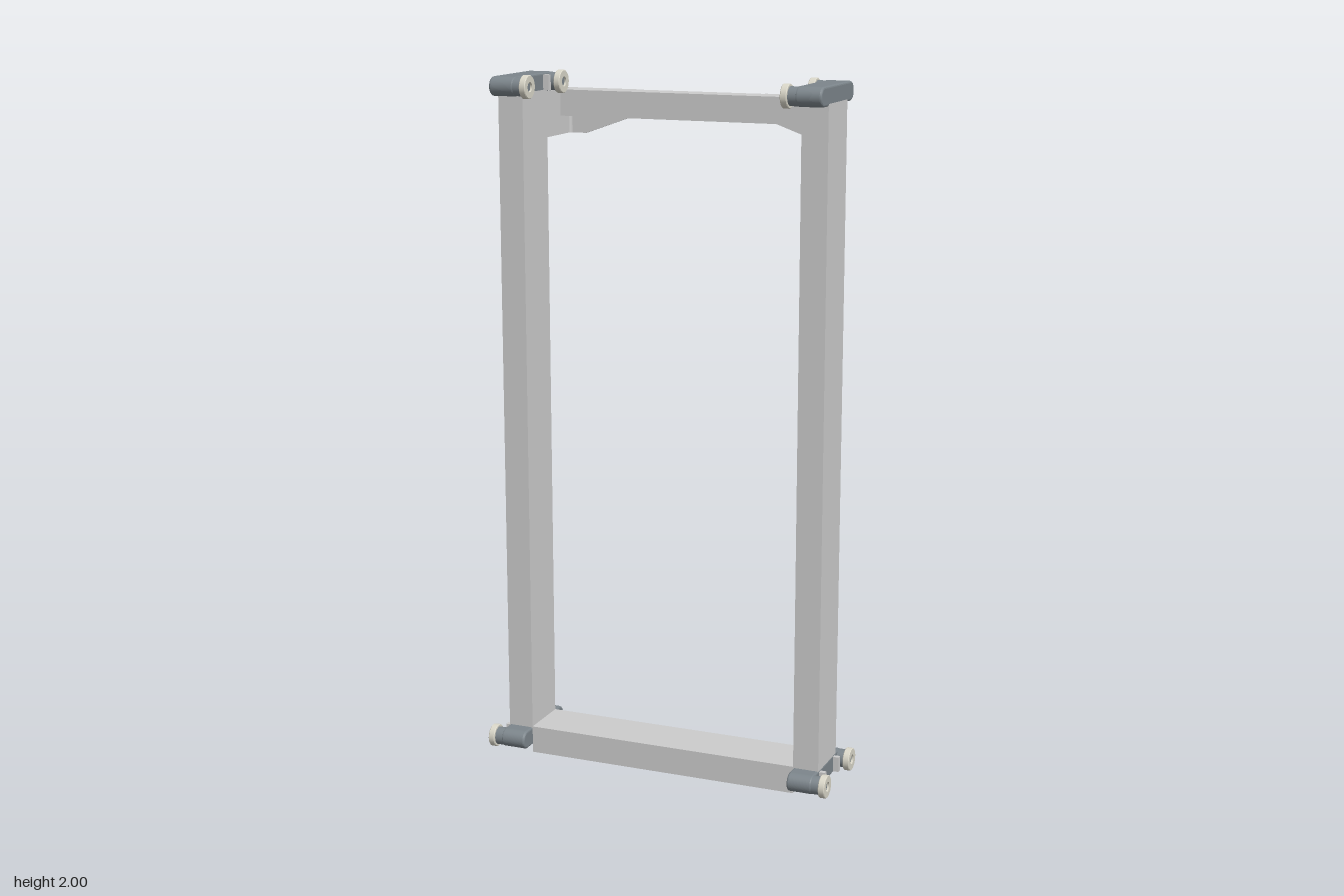
import * as THREE from 'three';

const grey = new THREE.MeshStandardMaterial({ color: 0xcccccc });
const dark = new THREE.MeshStandardMaterial({ color: 0x7c858b });
const cream = new THREE.MeshStandardMaterial({ color: 0xd9d6c8 });

const MID_Z = 0.047;   // centre of the posts front to back
const POST_X = 0.4475; // centre of each post
const AXLE_Z = 0.11;   // rollers, measured from MID_Z

function add(parent, name, geometry, material, x = 0, y = 0, z = 0) {
  const mesh = new THREE.Mesh(geometry, material);
  mesh.name = name;
  mesh.position.set(x, y, z);
  parent.add(mesh);
  return mesh;
}

// Box given by its two extreme corners
function box(parent, name, material, [x0, y0, z0], [x1, y1, z1]) {
  return add(parent, name, new THREE.BoxGeometry(x1 - x0, y1 - y0, z1 - z0), material,
    (x0 + x1) / 2, (y0 + y1) / 2, (z0 + z1) / 2);
}

// Stadium-shaped carrier with two rollers that point along local +x
function rollerBracket(name) {
  const g = new THREE.Group();
  g.name = name;
  const r = 0.021, bevel = 0.006;
  const s = new THREE.Shape();
  s.absarc(AXLE_Z, 0, r, -Math.PI / 2, Math.PI / 2, false);
  s.absarc(-AXLE_Z, 0, r, Math.PI / 2, Math.PI * 1.5, false);
  const core = new THREE.ExtrudeGeometry(s, {
    depth: 0.075 - 2 * bevel, bevelThickness: bevel, bevelSize: bevel, bevelSegments: 3, curveSegments: 16,
  });
  core.translate(0, 0, bevel - 0.0375);
  core.rotateY(Math.PI / 2);
  add(g, 'carrier', core, dark);

  // Roller profile (radius, position along axle), with a recessed hub
  const profile = [[0.014, 0.066], [0.014, 0.077], [0.031, 0.077], [0.033, 0.075],
    [0.033, 0.060], [0.031, 0.058], [0.014, 0.058]];
  // Repeat each corner so the lathe keeps hard edges
  const points = profile.flatMap(([a, b]) => [new THREE.Vector2(a, b), new THREE.Vector2(a, b)]).reverse();
  for (const side of [-1, 1]) {
    const axle = new THREE.CylinderGeometry(0.026, 0.026, 0.038, 28).rotateZ(Math.PI / 2);
    add(g, 'axle', axle, dark, 0.039, 0, side * AXLE_Z);
    const roller = new THREE.LatheGeometry(points, 28).rotateZ(-Math.PI / 2);
    const m = add(g, 'roller', roller, cream, 0, 0, side * AXLE_Z);
    m.material = creamBoth;
    const hub = new THREE.CylinderGeometry(0.014, 0.014, 0.014, 20).rotateZ(Math.PI / 2);
    add(g, 'hub', hub, dark, 0.064, 0, side * AXLE_Z);
    // Short lug beside the roller
    add(g, 'lug', new THREE.BoxGeometry(0.027, 0.044, 0.014), grey, 0.041, 0, side * 0.062);
  }
  return g;
}
const creamBoth = cream.clone();
creamBoth.side = THREE.DoubleSide;

// Bent sheet that wraps the rear beam and meets the post, built for +x
function gusset() {
  const top = 1.94, t = 0.009, R = 0.018;
  const xo = 0.42, zo = -0.195;
  // Centre path seen from above: x, z, normal x, normal z
  const path = [[0.19, zo, 0, 1], [0.205, zo, 0, 1], [0.36, zo, 0, 1], [xo - R, zo, 0, 1]];
  for (let i = 1; i <= 6; i++) {
    const a = (i / 6) * Math.PI / 2;
    path.push([xo - R + R * Math.sin(a), zo + R - R * Math.cos(a), -Math.sin(a), Math.cos(a)]);
  }
  path.push([xo, -0.032, -1, 0]);
  const bottom = (x) => 1.865 - 0.055 * THREE.MathUtils.clamp((x - 0.205) / 0.155, 0, 1);
  const pos = [], idx = [];
  for (const [x, z, nx, nz] of path) {
    const low = bottom(x);
    pos.push(x, top, z, x, low, z, x + nx * t, low, z + nz * t, x + nx * t, top, z + nz * t);
  }
  for (let i = 0; i < path.length - 1; i++) {
    for (let k = 0; k < 4; k++) {
      const a = i * 4 + k, b = i * 4 + (k + 1) % 4;
      idx.push(a, a + 4, b, b, a + 4, b + 4);
    }
  }
  const e = (path.length - 1) * 4;
  idx.push(0, 1, 2, 0, 2, 3, e, e + 2, e + 1, e, e + 3, e + 2);
  const geo = new THREE.BufferGeometry();
  geo.setAttribute('position', new THREE.Float32BufferAttribute(pos, 3));
  geo.setIndex(idx);
  const flat = geo.toNonIndexed();
  flat.computeVertexNormals();
  return flat;
}

export function createModel() {
  const model = new THREE.Group();
  model.name = 'rollerFrame';
  const sheet = new THREE.MeshStandardMaterial({ color: 0xcccccc, side: THREE.DoubleSide });

  // Bottom beam and rear top beam
  box(model, 'bottomBeam', grey, [-0.41, 0, -0.031], [0.41, 0.08, 0.125]);
  box(model, 'rearTopBeam', grey, [-0.405, 1.865, -0.187], [0.405, 1.94, -0.11]);

  const gussetGeo = gusset();
  for (const s of [1, -1]) {
    const label = s > 0 ? 'left' : 'right';

    // Upright post
    add(model, label + 'Post', new THREE.BoxGeometry(0.075, 1.872, 0.156), grey, s * POST_X, 1.011, MID_Z);

    // Gusset around the rear beam, with a tab on the back of the post
    const g = gussetGeo.clone();
    if (s < 0) g.rotateZ(0).scale(-1, 1, 1);
    if (s < 0) {
      // Swap two corners of each face to keep the mirrored faces outward
      const p = g.attributes.position, v = new THREE.Vector3(), w = new THREE.Vector3();
      for (let i = 0; i < p.count; i += 3) {
        v.fromBufferAttribute(p, i);
        w.fromBufferAttribute(p, i + 1);
        p.setXYZ(i, w.x, w.y, w.z);
        p.setXYZ(i + 1, v.x, v.y, v.z);
      }
      g.computeVertexNormals();
    }
    add(model, label + 'Gusset', g, sheet);
    add(model, label + 'GussetTab', new THREE.BoxGeometry(0.05, 0.13, 0.009), grey, s * 0.436, 1.875, -0.0355);

    // Rollers point inward at the top and outward at the bottom
    const upper = rollerBracket(label + 'TopRollerBracket');
    upper.position.set(s * POST_X, 1.967, MID_Z);
    upper.rotation.y = s > 0 ? Math.PI : 0;
    const lower = rollerBracket(label + 'BottomRollerBracket');
    lower.position.set(s * POST_X, 0.05, MID_Z);
    lower.rotation.y = s > 0 ? 0 : Math.PI;
    model.add(upper, lower);
  }
  return model;
}
